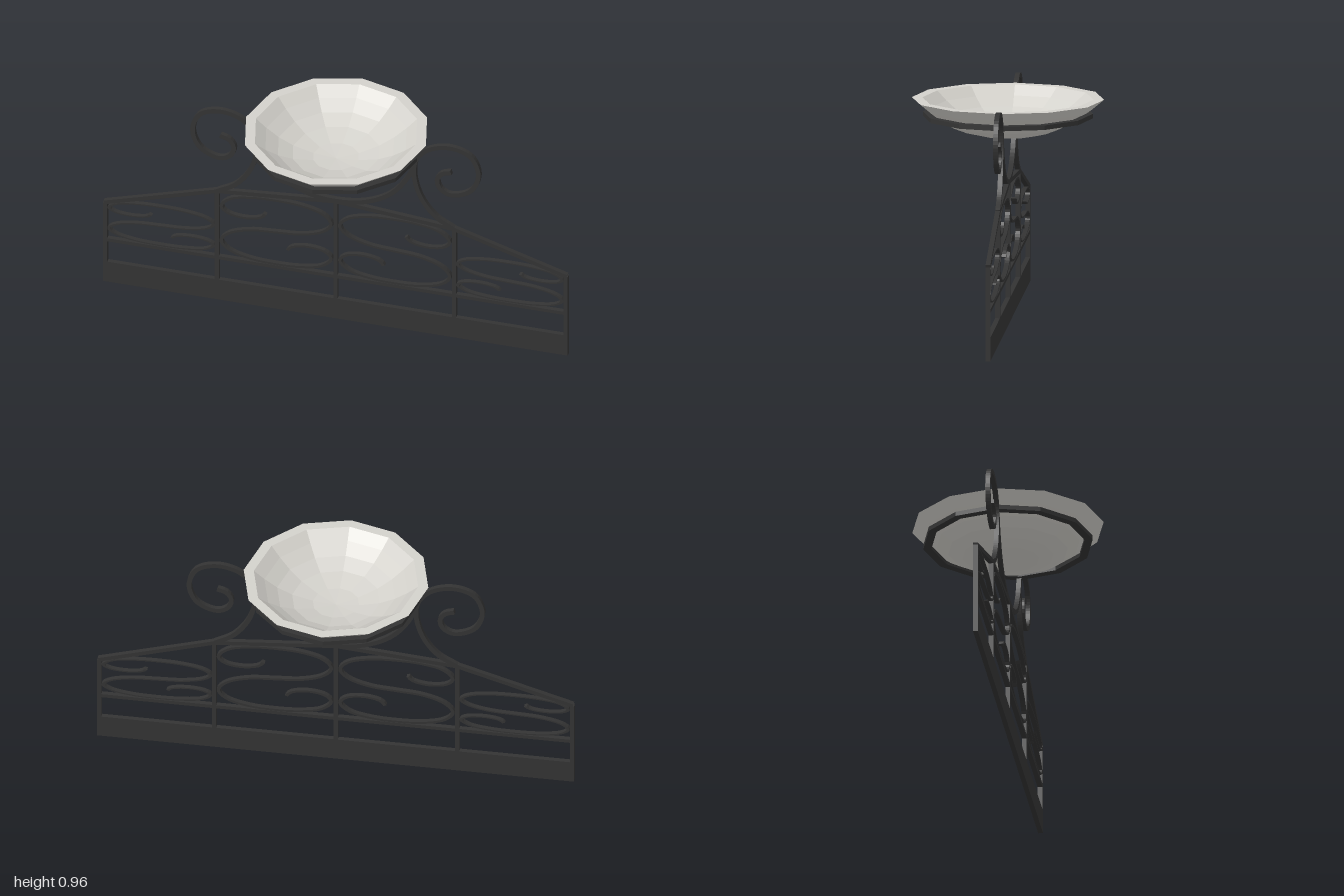
import * as THREE from 'three';

const DEPTH = 0.02;

export function createModel() {
  const iron = new THREE.MeshStandardMaterial({ color: 0x333333, flatShading: true });
  iron.name = 'dark iron';
  const stone = new THREE.MeshStandardMaterial({ color: 0xd3d1cb, flatShading: true });
  stone.name = 'pale stone';

  const model = new THREE.Group();
  model.name = 'gardenStandWithBowl';

  const add = (name, geometry, material = iron) => {
    const mesh = new THREE.Mesh(geometry, material);
    mesh.name = name;
    model.add(mesh);
    return mesh;
  };

  // straight bar between two points in the plane of the panel
  const bar = (name, x0, y0, x1, y1, width = 0.018) => {
    const length = Math.hypot(x1 - x0, y1 - y0);
    const mesh = add(name, new THREE.BoxGeometry(length, width, DEPTH));
    mesh.position.set((x0 + x1) / 2, (y0 + y1) / 2, 0);
    mesh.rotation.z = Math.atan2(y1 - y0, x1 - x0);
  };

  // flat bent strip along a smooth path; the finished outline is scaled and moved
  const strip = (name, path, width, steps, sx = 1, sy = 1, cx = 0, cy = 0) => {
    const curve = new THREE.CatmullRomCurve3(path.map(([x, y]) => new THREE.Vector3(x, y, 0)));
    const sideA = [], sideB = [];
    for (let i = 0; i <= steps; i++) {
      const p = curve.getPointAt(i / steps);
      const t = curve.getTangentAt(i / steps);
      const nx = -t.y * width / 2, ny = t.x * width / 2;
      sideA.push(new THREE.Vector2(cx + (p.x + nx) * sx, cy + (p.y + ny) * sy));
      sideB.push(new THREE.Vector2(cx + (p.x - nx) * sx, cy + (p.y - ny) * sy));
    }
    const shape = new THREE.Shape([...sideA, ...sideB.reverse()]);
    const geometry = new THREE.ExtrudeGeometry(shape, { depth: DEPTH, bevelEnabled: false });
    geometry.translate(0, 0, -DEPTH / 2);
    add(name, geometry);
  };

  // base plate and lower rail
  add('basePlate', new THREE.BoxGeometry(2, 0.1, DEPTH)).position.y = 0.05;
  bar('lowerRail', -0.99, 0.21, 0.99, 0.21, 0.016);
  bar('centrePost', 0, 0.1, 0, 0.59);

  // upper half of the S scroll on a unit panel; the rest is its half turn
  const halfS = [
    [-0.2, 0.5], [-0.27, 0.38], [-0.55, 0.29], [-0.86, 0.36], [-0.98, 0.55],
    [-0.8, 0.82], [-0.42, 0.95], [0, 0.98], [0.45, 0.94], [0.83, 0.78],
    [0.98, 0.52], [0.83, 0.25], [0.45, 0.06],
  ];
  const sPath = [...halfS, [0, 0], ...halfS.map(([x, y]) => [-x, -y]).reverse()];

  // bracket that rises from the post and curls outward
  const bracket = [
    [0.508, 0.545], [0.428, 0.594], [0.364, 0.684], [0.337, 0.797], [0.35, 0.868],
    [0.405, 0.925], [0.497, 0.948], [0.582, 0.918], [0.615, 0.834], [0.582, 0.749],
    [0.497, 0.713], [0.449, 0.738], [0.438, 0.781], [0.46, 0.813], [0.497, 0.825],
  ];

  for (const [side, s] of [['left', 1], ['right', -1]]) {
    bar(side + 'EndPost', s * 0.991, 0.1, s * 0.991, 0.395);
    bar(side + 'MiddlePost', s * 0.51, 0.1, s * 0.51, 0.545);
    bar(side + 'OuterTopRail', s * 0.995, 0.396, s * 0.505, 0.545);
    bar(side + 'InnerTopRail', s * 0.515, 0.543, 0, 0.588);
    strip(side + 'InnerScroll', sPath, 0.06, 110, -s * 0.242, 0.163, s * 0.255, 0.384);
    strip(side + 'OuterScroll', sPath, 0.06, 110, -s * 0.23, 0.098, s * 0.75, 0.32);
    strip(side + 'Bracket', bracket, 0.02, 80, s);
  }

  // hanging arc under the bowl
  const arc = [
    [-0.348, 0.866], [-0.31, 0.765], [-0.235, 0.668], [-0.125, 0.609], [0, 0.592],
    [0.125, 0.609], [0.235, 0.668], [0.31, 0.765], [0.348, 0.866],
  ];
  strip('bowlArc', arc, 0.02, 40);

  // ring that carries the bowl
  const lathe = (profile) => new THREE.LatheGeometry(profile.map(([r, y]) => new THREE.Vector2(r, y)), 12);
  add('bowlRing', lathe([[0.32, 0.857], [0.354, 0.857], [0.354, 0.876], [0.32, 0.876], [0.32, 0.857]]));

  // twelve-sided bowl: outside, flat rim, inside
  const bowl = lathe([
    [0, 0.778], [0.07, 0.78], [0.13, 0.787], [0.19, 0.802], [0.25, 0.826], [0.3, 0.856], [0.353, 0.896],
    [0.4, 0.935], [0.356, 0.935],
    [0.31, 0.897], [0.255, 0.86], [0.19, 0.83], [0.1, 0.808], [0, 0.8],
  ]);
  bowl.scale(0.968, 1, 1);
  add('bowl', bowl, stone);

  return model;
}
